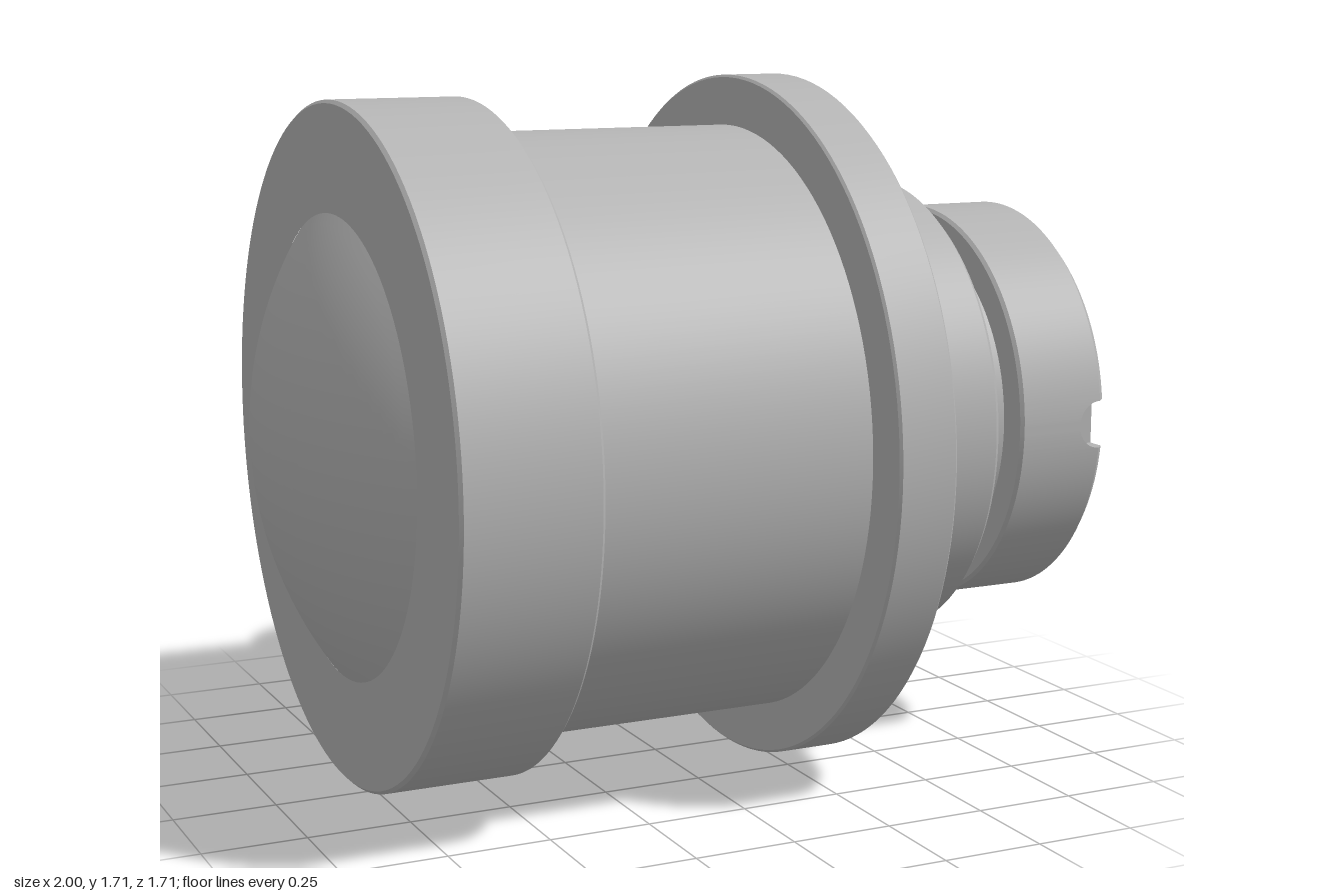
import * as THREE from 'three';
import { toCreasedNormals } from 'three/addons/utils/BufferGeometryUtils.js';

const AXIS_Y = 0.853;
const CREASE = Math.PI / 7;

export function createModel() {
  const group = new THREE.Group();
  const metal = new THREE.MeshStandardMaterial({ color: 0xb4b4b4 });
  metal.name = 'grey metal';

  const add = (name, geometry) => {
    const mesh = new THREE.Mesh(toCreasedNormals(geometry, CREASE), metal);
    mesh.name = name;
    mesh.position.y = AXIS_Y;
    group.add(mesh);
  };

  // Turned part: profile of [x along the axis, radius]
  const turned = (name, profile) => {
    const points = profile.map(([x, r]) => new THREE.Vector2(r, x));
    add(name, new THREE.LatheGeometry(points, 128).rotateZ(-Math.PI / 2));
  };

  // Disc with chamfered rims, closed down to an inner radius
  const disc = (name, x0, x1, r, c0, c1, inner0, inner1) => turned(name, [
    [x0, inner0], [x0, r - c0], [x0 + c0, r], [x1 - c1, r], [x1, r - c1], [x1, inner1],
  ]);

  // Domed end, a shallow spherical cap
  const domeR = 0.555, domeH = 0.175;
  const sphereR = (domeR ** 2 + domeH ** 2) / (2 * domeH);
  const span = Math.asin(domeR / sphereR);
  const dome = [];
  for (let i = 0; i <= 20; i++) {
    const a = (span * i) / 20;
    dome.push([-1 + sphereR * (1 - Math.cos(a)), sphereR * Math.sin(a)]);
  }
  turned('dome', dome);

  disc('endRing', -0.827, -0.495, 0.815, 0.008, 0.008, 0.553, 0.7);
  turned('barrel', [[-0.5, 0.73], [0.21, 0.73]]);
  disc('flange', 0.203, 0.352, 0.853, 0.006, 0.006, 0.7, 0.55);
  turned('neck', [[0.345, 0.58], [0.63, 0.58], [0.645, 0.565], [0.645, 0.4]]);
  turned('groove', [[0.64, 0.428], [0.76, 0.428]]);
  add('notchedCap', notchedCap());
  return group;
}

// End cap with two round-bottomed notches, built from profile columns around the axis
function notchedCap() {
  const x0 = 0.75, xc = 0.98, x1 = 1, R = 0.507, chamfer = 0.02, n = 0.059, floor = 0.44;
  const half = [];
  const start = (y) => {
    const z = Math.sqrt(R * R - y * y);
    return [[x0, y * 0.8, z * 0.8], [x0 + 0.0, y * 0.985, z * 0.985], [x0 + 0.008, y, z]];
  };
  // Column at the side wall of a notch
  const edge = (y) => [...start(y),
    [xc, y, Math.sqrt(R * R - y * y)],
    [x1, y, Math.sqrt((R - chamfer) ** 2 - y * y)],
    [x1, y, floor], [x1, 0, 0]];
  // Column inside a notch
  const inside = (y) => {
    const x = xc - Math.sqrt(Math.max(0, n * n - y * y));
    return [...start(y), [x, y, Math.sqrt(R * R - y * y)], [x, y, floor], [x1, y, floor], [x1, 0, 0]];
  };
  // Column of the plain rim
  const plain = (a) => [[x0, R * 0.8], [x0, R * 0.985], [x0 + 0.008, R], [xc, R],
    [x1, R - chamfer], [x1, floor], [x1, 0]]
    .map(([x, r]) => [x, r * Math.sin(a), r * Math.cos(a)]);

  half.push(edge(-n));
  for (let i = 0; i <= 20; i++) half.push(inside(-n * Math.cos((Math.PI * i) / 20)));
  half.push(edge(n));
  const a0 = Math.asin(n / R);
  for (let i = 1; i < 60; i++) half.push(plain(a0 + ((Math.PI - 2 * a0) * i) / 60));

  // Second half is the first turned by 180 degrees about the axis
  const columns = [...half, ...half.map((c) => c.map(([x, y, z]) => [x, -y, -z])), half[0]];
  const positions = [];
  const triangle = new THREE.Triangle();
  const face = (...corners) => {
    const [a, b, c] = corners.map((p) => new THREE.Vector3(...p));
    if (triangle.set(a, b, c).getArea() > 1e-9) positions.push(...corners.flat());
  };
  for (let i = 0; i < columns.length - 1; i++) {
    const a = columns[i], b = columns[i + 1];
    for (let j = 0; j < a.length - 1; j++) {
      face(a[j], a[j + 1], b[j + 1]);
      face(a[j], b[j + 1], b[j]);
    }
  }
  const geometry = new THREE.BufferGeometry();
  geometry.setAttribute('position', new THREE.Float32BufferAttribute(positions, 3));
  return geometry;
}
